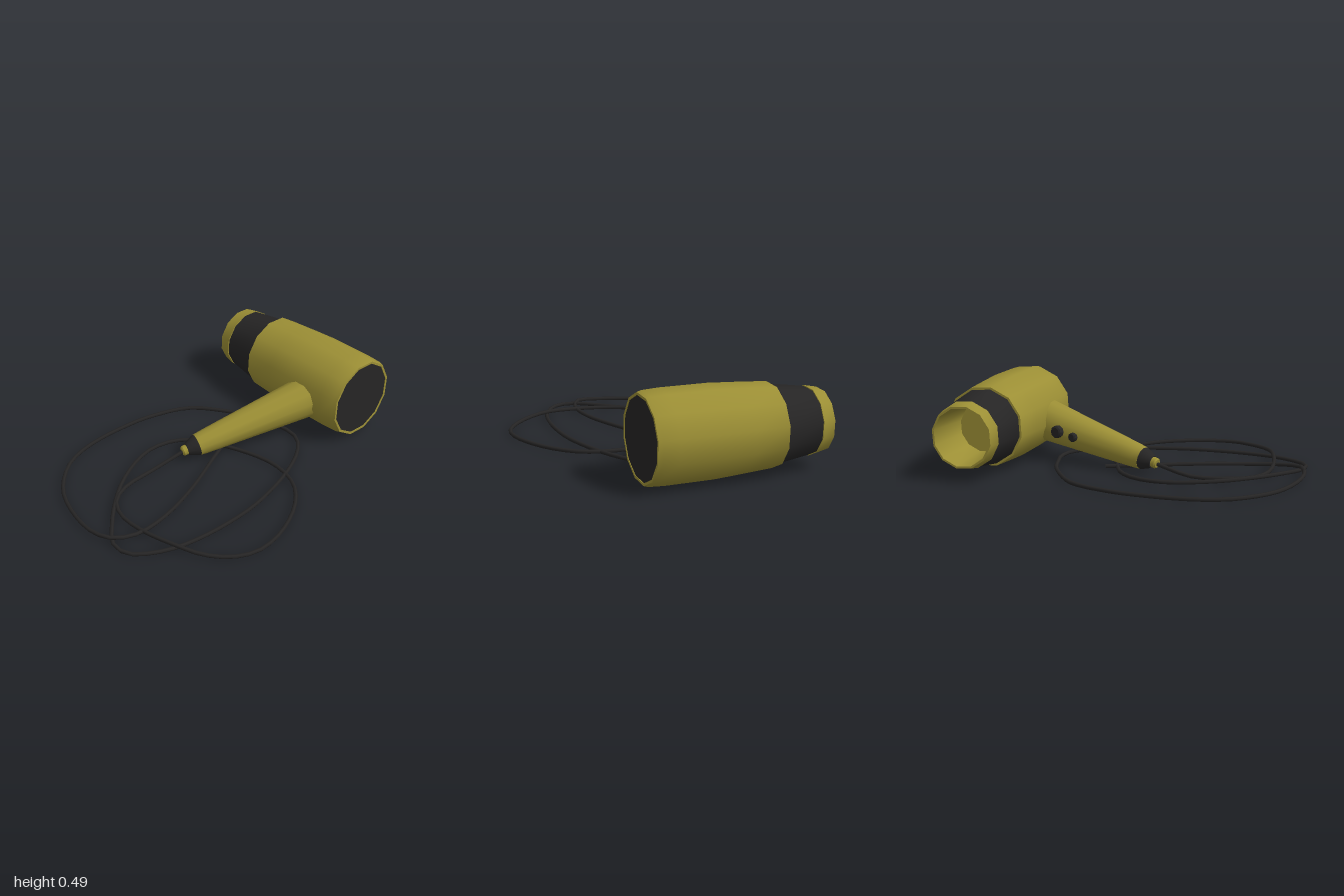
import * as THREE from 'three';
import { toCreasedNormals } from 'three/addons/utils/BufferGeometryUtils.js';

const yellow = new THREE.MeshStandardMaterial({ color: 0x9c8f35, side: THREE.DoubleSide });
const black = new THREE.MeshStandardMaterial({ color: 0x262525, side: THREE.DoubleSide });

// Turned part from [radius, height] pairs, listed upwards along the outside
function turned(name, profile, material, sides = 12) {
  const points = profile.map(([r, h]) => new THREE.Vector2(r, h));
  const mesh = new THREE.Mesh(toCreasedNormals(new THREE.LatheGeometry(points, sides), 0.6), material);
  mesh.name = name;
  return mesh;
}

// Barrel, lying along z with its intake at the front and its nozzle at the back
function createBarrel() {
  const barrel = new THREE.Group();
  barrel.name = 'barrel';
  const turn = new THREE.Group();
  turn.rotation.x = Math.PI / 2;
  turn.add(
    turned('casing', [[0.2, -0.39], [0.228, -0.39], [0.24, -0.2], [0.248, -0.05], [0.248, 0.22],
      [0.243, 0.31], [0.236, 0.335], [0.222, 0.335], [0.22, 0.325]], yellow),
    turned('intakeCover', [[0.223, 0.325], [0.222, 0.332], [0, 0.332]], black),
    turned('collar', [[0.17, -0.61], [0.183, -0.61], [0.216, -0.388]], black),
    turned('nozzle', [[0, -0.4], [0.14, -0.4], [0.162, -0.685], [0.173, -0.685], [0.188, -0.61], [0.17, -0.608]], yellow),
  );
  barrel.add(turn);
  barrel.rotation.z = 0.2;
  barrel.position.set(0.75, 0.253, 0);
  return barrel;
}

// Tapered handle, leaning from the cord end up into the barrel
function createHandle() {
  const handle = new THREE.Group();
  handle.name = 'handle';
  const axis = new THREE.Vector3(1, 0.206, 0.343).normalize();
  const grip = new THREE.Group();
  grip.quaternion.setFromUnitVectors(new THREE.Vector3(0, 1, 0), axis);
  grip.add(
    turned('grip', [[0.05, -0.118], [0.064, -0.115], [0.068, -0.08], [0.075, 0], [0.118, 0.55], [0.13, 0.72]], yellow),
    turned('endCap', [[0, -0.182], [0.036, -0.182], [0.061, -0.128], [0.063, -0.114]], black),
    turned('cordSleeve', [[0, -0.213], [0.024, -0.213], [0.03, -0.205], [0.03, -0.175]], yellow),
  );
  handle.add(grip);

  // Two round buttons on the back of the grip
  const out = new THREE.Vector3(0.32, 0, -0.95).normalize();
  for (const [x, radius, reach] of [[0.29, 0.026, 0.12], [0.39, 0.036, 0.135]]) {
    const button = turned('button', [[radius, -0.05], [radius, -0.006], [radius * 0.75, 0], [0, 0]], black, 10);
    button.quaternion.setFromUnitVectors(new THREE.Vector3(0, 1, 0), out);
    button.position.copy(axis).multiplyScalar(x / axis.x).addScaledVector(out, reach);
    handle.add(button);
  }
  handle.position.set(0, 0.105, -0.13);
  return handle;
}

// Cord looped loosely on the ground, as [x, z]
const cordPath = [
  [-0.4, -0.23], [-0.6, -0.22], [-0.72, -0.16], [-0.78, -0.04], [-0.785, 0.14], [-0.74, 0.36],
  [-0.68, 0.5], [-0.58, 0.61], [-0.46, 0.67], [-0.32, 0.67], [-0.16, 0.62], [-0.02, 0.54],
  [0.08, 0.44], [0.13, 0.33], [0.145, 0.19], [0.12, 0.05], [0.06, -0.12], [0, -0.25],
  [-0.09, -0.34], [-0.18, -0.38], [-0.29, -0.39], [-0.42, -0.355], [-0.57, -0.28], [-0.68, -0.2],
  [-0.79, -0.1], [-0.88, 0], [-0.95, 0.09], [-0.965, 0.15], [-0.95, 0.22], [-0.89, 0.28],
  [-0.76, 0.35], [-0.59, 0.39], [-0.39, 0.405], [-0.22, 0.4], [-0.07, 0.375], [0.1, 0.33],
  [0.25, 0.27], [0.35, 0.21], [0.43, 0.12], [0.445, 0], [0.42, -0.11], [0.38, -0.25],
  [0.31, -0.38], [0.2, -0.53], [0.11, -0.59], [0, -0.63], [-0.11, -0.66], [-0.25, -0.675],
  [-0.4, -0.68], [-0.57, -0.66], [-0.7, -0.61], [-0.82, -0.51], [-0.9, -0.4], [-0.96, -0.23],
  [-0.985, -0.05], [-0.95, 0.08], [-0.83, 0.14], [-0.63, 0.13], [-0.35, 0.05], [-0.05, -0.08], [0.12, -0.15],
];

function createCord() {
  // Early and late stretches rise a little where they cross over other loops
  const lift = (i, at) => 0.02 * Math.exp(-(((i - at) / 1.2) ** 2));
  const points = cordPath.map(([x, z], i) => new THREE.Vector3(x, 0.016 + lift(i, 5) + lift(i, 55), z));
  points.unshift(new THREE.Vector3(-0.19, 0.063, -0.195));
  const curve = new THREE.CatmullRomCurve3(points, false, 'centripetal');
  const cord = new THREE.Mesh(new THREE.TubeGeometry(curve, 130, 0.0115, 6), black);
  cord.name = 'cord';
  return cord;
}

export function createModel() {
  const model = new THREE.Group();
  model.name = 'hairDryer';
  model.add(createBarrel(), createHandle(), createCord());
  return model;
}
